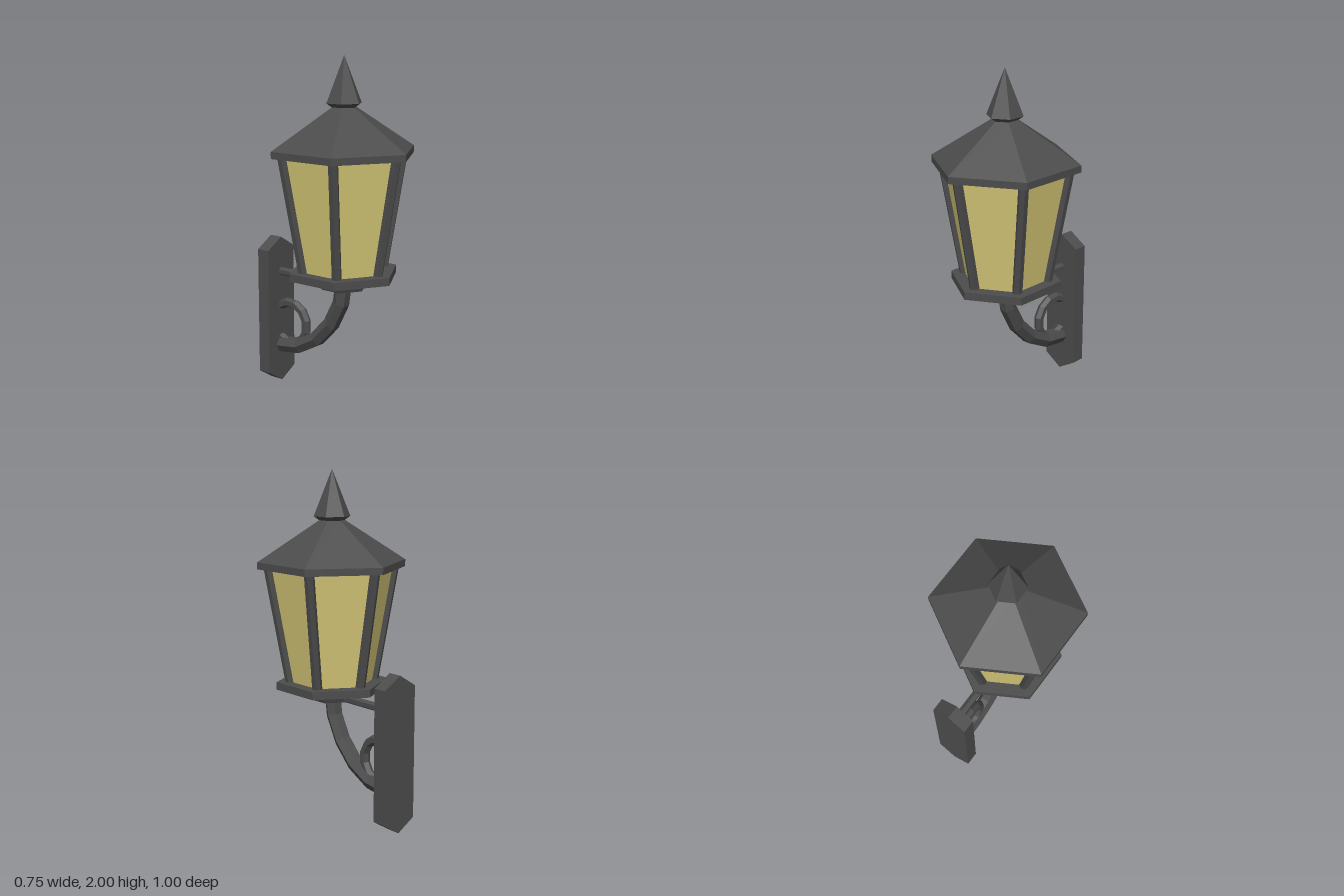
import * as THREE from 'three';

const metal = new THREE.MeshStandardMaterial({ color: 0x4c4c4c, flatShading: true });
const glass = new THREE.MeshStandardMaterial({ color: 0xd8ca78, flatShading: true });
const AXIS_Z = 0.07; // lantern axis, in front of the wall plate

export function createModel() {
  const model = new THREE.Group();

  const add = (name, geometry, parent = model, material = metal) => {
    const mesh = new THREE.Mesh(geometry, material);
    mesh.name = name;
    parent.add(mesh);
    return mesh;
  };

  // Six-sided lantern with a corner facing the front
  const lantern = new THREE.Group();
  lantern.name = 'lantern';
  lantern.position.z = AXIS_Z;
  model.add(lantern);

  const hex = (name, rBottom, rTop, y0, y1, material = metal) => {
    const geometry = new THREE.CylinderGeometry(rTop, rBottom, y1 - y0, 6);
    geometry.translate(0, (y0 + y1) / 2, 0);
    return add(name, geometry, lantern, material);
  };

  hex('lowerCup', 0.134, 0.162, 0.67, 0.735);
  hex('basePlate', 0.328, 0.328, 0.735, 0.78);
  hex('glassPanes', 0.248, 0.363, 0.78, 1.44, glass);
  hex('roofRim', 0.431, 0.431, 1.44, 1.48);
  hex('roof', 0.431, 0.07, 1.48, 1.715);
  hex('finialCollar', 0.07, 0.106, 1.71, 1.735);
  hex('finialSpike', 0.106, 0, 1.735, 2);

  // Slanted posts on the six corners
  for (let i = 0; i < 6; i++) {
    const a = (i * Math.PI) / 3;
    const geometry = new THREE.CylinderGeometry(0.029, 0.029, 0.66, 6);
    const p = geometry.attributes.position;
    for (let j = 0; j < p.count; j++) {
      const lean = p.getY(j) > 0 ? 0.365 : 0.248;
      p.setZ(j, p.getZ(j) + lean);
    }
    geometry.translate(0, 1.11, 0);
    geometry.rotateY(a);
    add('cornerPost', geometry, lantern);
  }

  // Wall plate, pointed at both ends
  const outline = new THREE.Shape([
    [0, 0], [0.113, 0.07], [0.113, 0.835], [0, 0.905], [-0.113, 0.835], [-0.113, 0.07],
  ].map(([x, y]) => new THREE.Vector2(x, y)));
  const plate = new THREE.ExtrudeGeometry(outline, { depth: 0.083, bevelEnabled: false });
  plate.translate(0, 0, -0.503);
  add('wallPlate', plate);

  // Curved arm carrying the lantern
  const path = new THREE.CatmullRomCurve3([
    [0.73, 0.072], [0.585, 0.053], [0.45, -0.013], [0.325, -0.13], [0.25, -0.27], [0.23, -0.43],
  ].map(([y, z]) => new THREE.Vector3(0, y, z)));
  add('curvedArm', new THREE.TubeGeometry(path, 5, 0.049, 6, false));

  // Straight stay between cup and plate
  const stay = new THREE.CylinderGeometry(0.025, 0.025, 0.5, 6);
  stay.rotateX(Math.PI / 2);
  stay.translate(0, 0.692, -0.18);
  add('stayBar', stay);

  // Ornamental ring, cut off inside the plate
  const arc = THREE.MathUtils.degToRad(260);
  const ring = new THREE.TorusGeometry(0.128, 0.029, 6, 9, arc);
  ring.rotateZ(-arc / 2);
  ring.rotateY(-Math.PI / 2);
  ring.translate(0, 0.38, -0.345);
  add('scrollRing', ring);

  return model;
}
